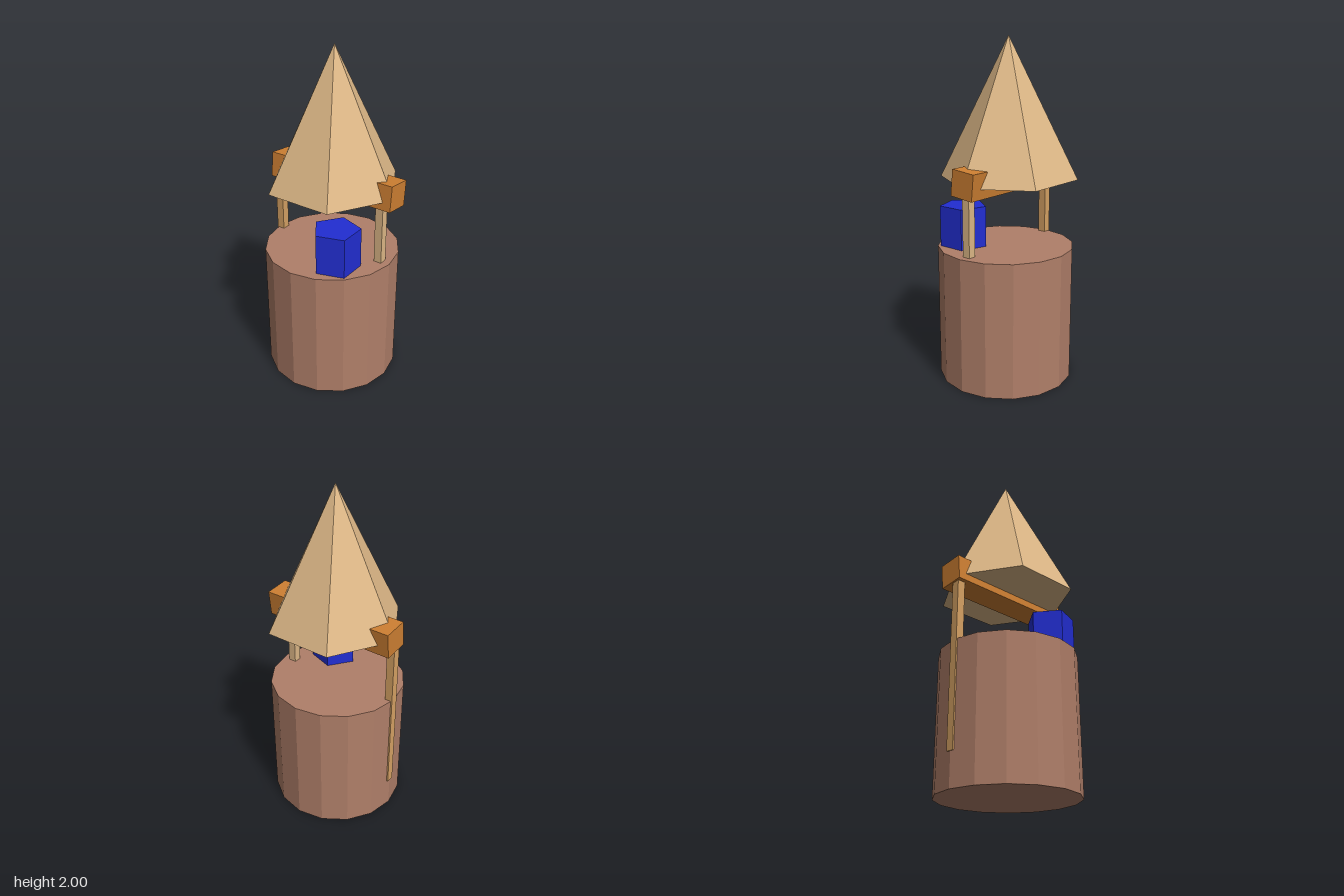
import * as THREE from 'three';

const material = (name, color) => {
  const m = new THREE.MeshStandardMaterial({ color, flatShading: true });
  m.name = name;
  return m;
};

export function createModel() {
  const model = new THREE.Group();
  const clay = material('clay', 0xb07f69);
  const straw = material('straw', 0xdeb887);
  const paleWood = material('pale wood', 0xd6a264);
  const wood = material('orange wood', 0xcd7f32);
  const blue = material('blue', 0x222ed2);

  const add = (name, geometry, mat, x, y, z) => {
    const mesh = new THREE.Mesh(geometry, mat);
    mesh.name = name;
    mesh.position.set(x, y, z);
    model.add(mesh);
    return mesh;
  };

  // Sixteen-sided well body
  add('wellBody', new THREE.CylinderGeometry(0.4, 0.4, 0.8, 16), clay, 0, 0.4, 0);

  // Posts; the rear one stands slightly proud of the wall
  const post = new THREE.BoxGeometry(0.048, 1, 0.048);
  add('frontPost', post, straw, 0.006, 0.69, 0.331);
  add('backPost', post, paleWood, 0.002, 0.69, -0.38);

  // Tilted crossbeam
  const beam = add('crossbeam', new THREE.BoxGeometry(0.15, 0.15, 0.83), wood, 0.037, 1.223, 0);
  beam.rotation.z = -0.1;

  // Six-sided roof
  add('roof', new THREE.ConeGeometry(0.4, 0.8, 6), straw, 0.02, 1.6, 0);

  // Five-sided bucket on the rim
  const bucket = add('bucket', new THREE.CylinderGeometry(0.14, 0.14, 0.24, 5), blue, -0.186, 0.92, 0.161);
  bucket.rotation.y = Math.PI;

  return model;
}
